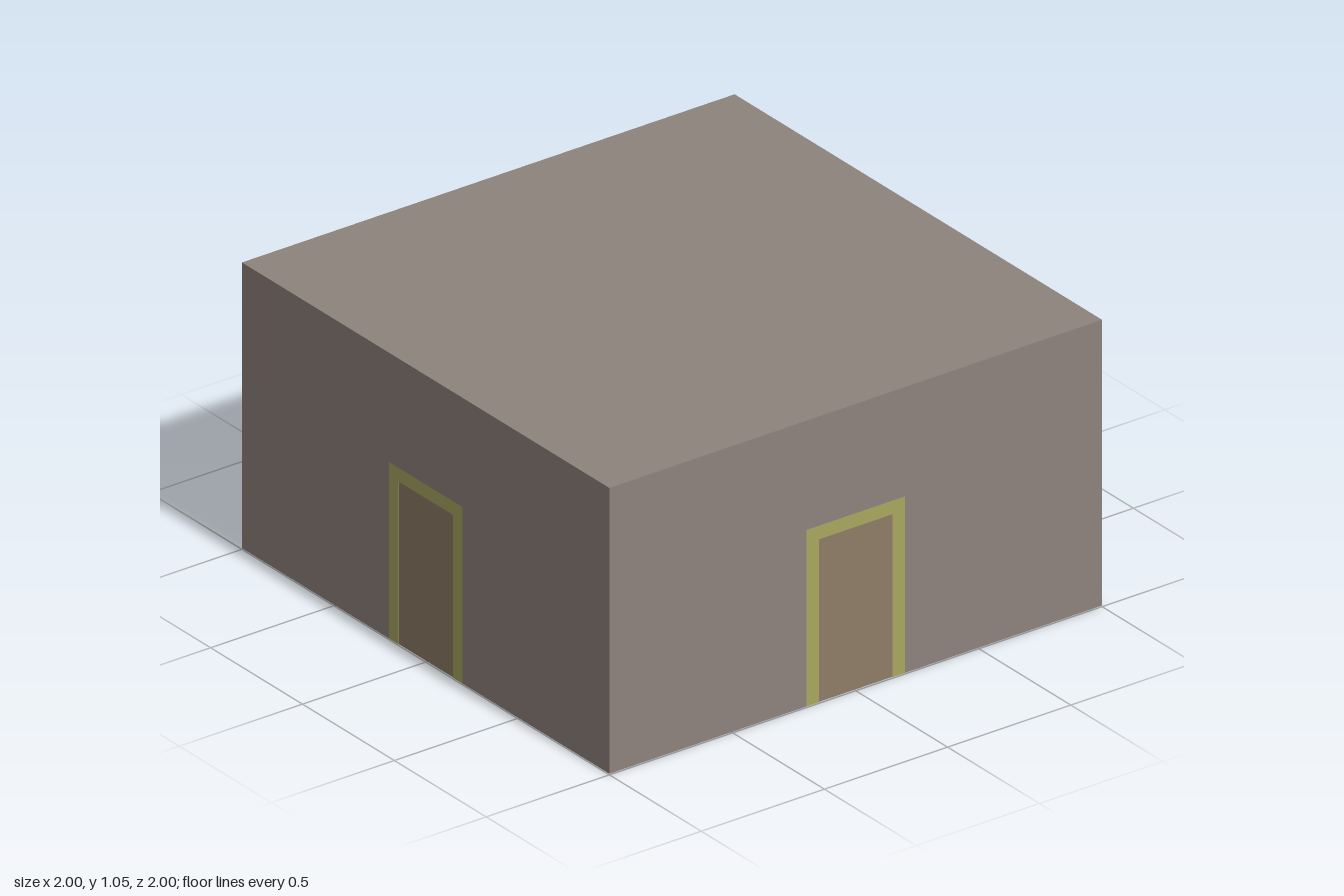
import * as THREE from 'three';

const HEIGHT = 1.05, THICK = 0.05, BASE = 0.004;
const paint = (color) => new THREE.MeshStandardMaterial({ color });
const wallMat = paint(0x8e837d), floorMat = paint(0x4a403b);
const frameMat = paint(0xaaa660), doorMat = paint(0x8d7d66), woodMat = paint(0x8a7468);

function add(parent, name, geometry, material, x = 0, y = 0, z = 0) {
  const mesh = new THREE.Mesh(geometry, material);
  mesh.name = name;
  mesh.position.set(x, y, z);
  parent.add(mesh);
  return mesh;
}

// Upright slab from x0 to x1 with a doorway notch cut from its lower edge
function archedSlab(x0, x1, top, notchHalf, notchTop) {
  const shape = new THREE.Shape([
    [x0, BASE], [-notchHalf, BASE], [-notchHalf, notchTop], [notchHalf, notchTop],
    [notchHalf, BASE], [x1, BASE], [x1, top], [x0, top],
  ].map(([x, y]) => new THREE.Vector2(x, y)));
  return new THREE.ExtrudeGeometry(shape, { depth: THICK, bevelEnabled: false });
}

export function createModel() {
  const room = new THREE.Group();
  room.name = 'room';

  // Four identical walls; each overlaps the end of the next one at the corner
  const wallGeo = archedSlab(-1, 1 - THICK, HEIGHT - THICK, 0.2, 0.65);
  const frameGeo = archedSlab(-0.2, 0.2, 0.65, 0.15, 0.6);
  const doorGeo = new THREE.BoxGeometry(0.3, 0.6 - BASE, THICK - 0.004);
  ['front', 'left', 'back', 'right'].forEach((side, i) => {
    const group = new THREE.Group();
    group.name = side + 'Side';
    group.rotation.y = i * Math.PI / 2;
    add(group, 'wall', wallGeo, wallMat, 0, 0, 1 - THICK);
    add(group, 'doorFrame', frameGeo, frameMat, 0, 0, 1 - THICK);
    add(group, 'door', doorGeo, doorMat, 0, (0.6 + BASE) / 2, 1 - THICK / 2);
    room.add(group);
  });

  // Ceiling over the walls, floor inside them
  add(room, 'ceiling', new THREE.BoxGeometry(2, THICK, 2), wallMat, 0, HEIGHT - THICK / 2, 0);
  const inner = 2 - 2 * THICK;
  add(room, 'floor', new THREE.BoxGeometry(inner, 0.03, inner), floorMat, 0, BASE + 0.015, 0);

  // Fallen plank and a small chip, sunk slightly through the floor
  const plank = add(room, 'plank', new THREE.BoxGeometry(0.035, 0.06, 0.755), woodMat, -0.48, 0.03, -0.295);
  plank.rotation.y = Math.atan2(-0.26, 0.71);
  const chip = add(room, 'chip', new THREE.BoxGeometry(0.03, 0.06, 0.05), woodMat, 0.28, 0.03, -0.78);
  chip.rotation.y = 0.6;

  return room;
}
